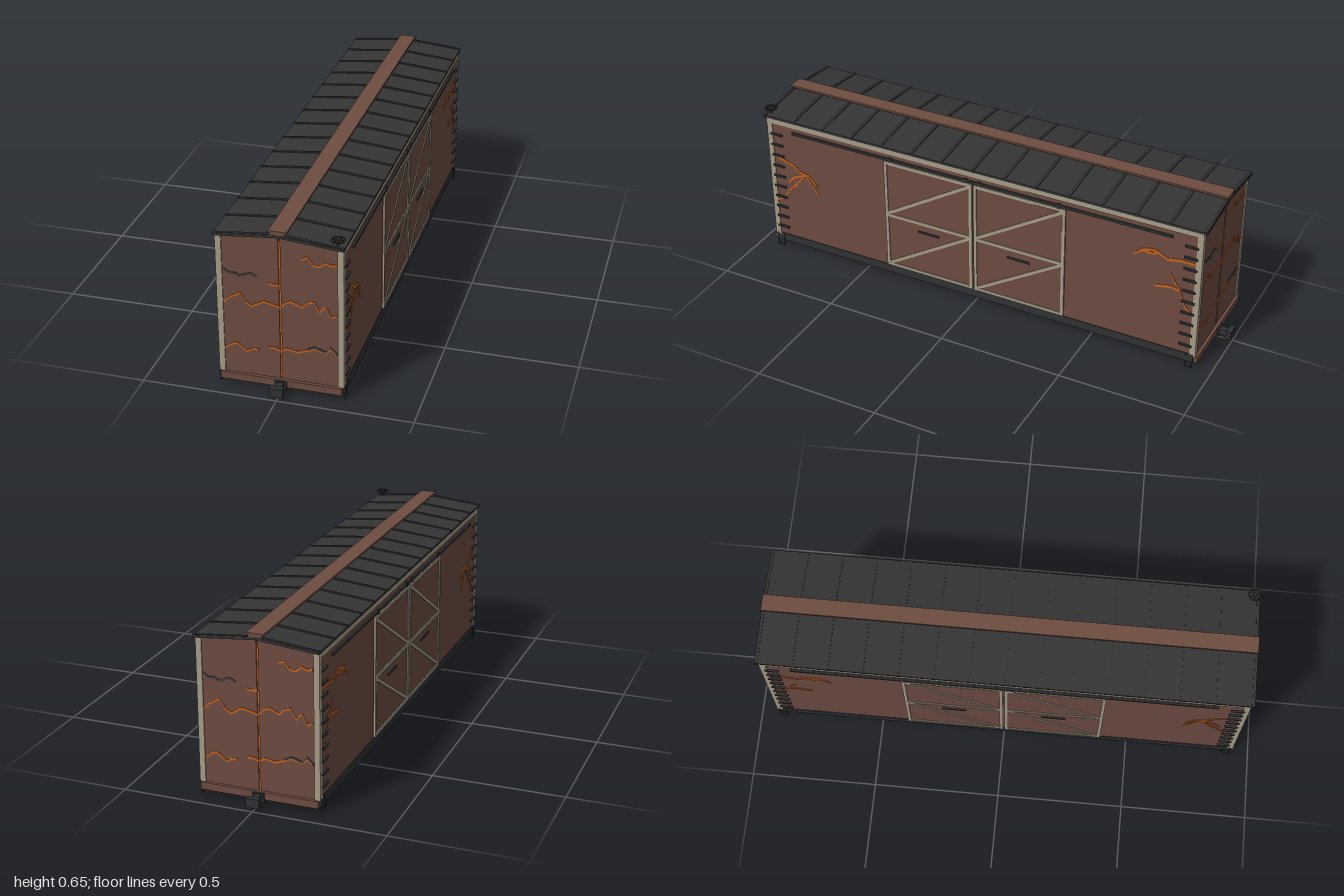
import * as THREE from 'three';

const mat = (name, color, side = THREE.FrontSide) => {
  const m = new THREE.MeshStandardMaterial({ color, side });
  m.name = name;
  return m;
};

export function createModel() {
  const brown = mat('boxcar brown', 0x6d4c41);
  const roofGrey = mat('roof grey', 0x343434);
  const iron = mat('dark iron', 0x2f3132);
  const beige = mat('beige trim', 0xa69c87);
  const rust = mat('rust orange', 0xc4621f);
  const soot = mat('soot grey', 0x404040);

  const model = new THREE.Group();
  model.name = 'boxcar';
  const add = (name, geo, material, x = 0, y = 0, z = 0, parent = model) => {
    const mesh = new THREE.Mesh(geo, material);
    mesh.name = name;
    mesh.position.set(x, y, z);
    parent.add(mesh);
    return mesh;
  };
  const box = (name, m, w, h, d, x, y, z, parent) =>
    add(name, new THREE.BoxGeometry(w, h, d), m, x, y, z, parent);
  const rod = (name, m, r, a, b, parent) => {
    const from = new THREE.Vector3(...a), to = new THREE.Vector3(...b);
    const mesh = add(name, new THREE.CylinderGeometry(r, r, from.distanceTo(to), 8), m, 0, 0, 0, parent);
    mesh.position.copy(from).add(to).multiplyScalar(0.5);
    mesh.quaternion.setFromUnitVectors(new THREE.Vector3(0, 1, 0), to.sub(from).normalize());
    return mesh;
  };
  const extrude = (pts, depth) => new THREE.ExtrudeGeometry(
    new THREE.Shape(pts.map(p => new THREE.Vector2(...p))), { depth, bevelEnabled: false });
  // jagged ribbon following a polyline
  const ribbon = (pts, t, depth = 0.003) => extrude([
    ...pts.map(([x, y]) => [x, y - t / 2]), ...[...pts].reverse().map(([x, y]) => [x, y + t / 2])], depth);

  // Body shell
  add('body', extrude([[-0.228, 0.045], [0.228, 0.045], [0.228, 0.608], [0, 0.632], [-0.228, 0.608]], 1.844),
    brown, 0, 0, -0.922);

  // Roof with raised seams
  const chevron = (w, low, high, t) => [[-w, low], [0, high], [w, low], [w, low + t], [0, high + t], [-w, low + t]];
  add('roof', extrude(chevron(0.235, 0.606, 0.628, 0.009), 1.89), roofGrey, 0, 0, -0.945);
  for (let i = 0; i < 15; i++) {
    const z = -0.938 + i * 0.134;
    add('roofSeam', extrude(chevron(0.236, 0.607, 0.631, 0.011), 0.01), roofGrey, 0, 0, z - 0.005);
    box('walkwaySaddle', brown, 0.05, 0.009, 0.012, 0, 0.641, z);
  }
  box('roofWalkway', brown, 0.066, 0.008, 1.89, 0, 0.649, 0);

  // Brake wheel on the roof corner
  rod('brakeShaft', iron, 0.004, [0.208, 0.59, 0.923], [0.208, 0.642, 0.923]);
  add('brakeWheel', new THREE.TorusGeometry(0.023, 0.003, 6, 20).rotateX(Math.PI / 2), iron, 0.208, 0.64, 0.923);
  for (let i = 0; i < 3; i++) {
    box('brakeSpoke', iron, 0.046, 0.003, 0.005, 0.208, 0.64, 0.923).rotation.y = i * Math.PI / 3;
  }

  // Cracks on the ends: [material, points]
  const endCracks = [
    [rust, [[0.08, 0.55], [0.1, 0.56], [0.122, 0.532], [0.145, 0.53], [0.165, 0.547], [0.185, 0.539], [0.206, 0.543]]],
    [soot, [[-0.205, 0.475], [-0.185, 0.46], [-0.165, 0.462], [-0.145, 0.453], [-0.105, 0.468], [-0.083, 0.457]]],
    [rust, [[-0.042, 0.438], [-0.02, 0.434], [0, 0.437]]],
    [rust, [[-0.205, 0.34], [-0.185, 0.362], [-0.145, 0.384], [-0.125, 0.35], [-0.103, 0.337], [-0.06, 0.362],
      [-0.02, 0.353], [0, 0.346], [0.02, 0.368], [0.04, 0.377], [0.08, 0.361], [0.1, 0.38], [0.122, 0.386],
      [0.145, 0.35], [0.165, 0.375], [0.185, 0.335], [0.206, 0.346]]],
    [rust, [[-0.205, 0.153], [-0.185, 0.169], [-0.165, 0.177], [-0.145, 0.166], [-0.125, 0.148], [-0.105, 0.162], [-0.083, 0.162]]],
    [rust, [[-0.042, 0.178], [-0.02, 0.177], [0, 0.17], [0.02, 0.182], [0.04, 0.18], [0.06, 0.174], [0.1, 0.188],
      [0.122, 0.198], [0.165, 0.188], [0.182, 0.206], [0.206, 0.186]]],
    [soot, [[0.1, 0.192], [0.122, 0.204], [0.165, 0.191], [0.182, 0.213], [0.206, 0.189]]],
  ];

  // Both ends, the rear one turned around
  for (const turn of [0, Math.PI]) {
    const end = new THREE.Group();
    end.name = turn ? 'rearEnd' : 'frontEnd';
    end.rotation.y = turn;
    model.add(end);
    box('endSeam', rust, 0.007, 0.552, 0.002, 0, 0.331, 0.923, end);
    for (const s of [-1, 1]) {
      add('endPanel', extrude([[s * 0.0035, 0.055], [s * 0.212, 0.055], [s * 0.212, 0.609], [s * 0.0035, 0.629]], 0.007),
        brown, 0, 0, 0.922, end);
      box('cornerPost', beige, 0.022, 0.553, 0.024, s * 0.22, 0.331, 0.921, end);
      // U-shaped corner step
      const x = s * 0.231;
      for (const z of [0.895, 0.922]) box('stepHanger', iron, 0.004, 0.056, 0.004, x, 0.033, z, end);
      box('stepTread', iron, 0.006, 0.004, 0.031, x, 0.006, 0.9085, end);
    }
    endCracks.forEach(([m, pts], i) => add('endCrack', ribbon(pts, 0.008), m, 0, 0, 0.9285 + (m === soot ? 0.0008 : 0), end));
    box('endSill', brown, 0.45, 0.028, 0.022, 0, 0.041, 0.93, end);
    box('couplerShank', iron, 0.026, 0.024, 0.06, 0, 0.036, 0.955, end);
    box('couplerCollar', iron, 0.044, 0.034, 0.008, 0, 0.036, 0.944, end);
    box('couplerHead', iron, 0.05, 0.036, 0.02, 0, 0.036, 0.99, end);

    // Low truck under each end
    box('truckBolster', iron, 0.32, 0.014, 0.03, 0, 0.026, 0.71, end);
    for (const s of [-1, 1]) {
      box('truckFrame', iron, 0.014, 0.012, 0.13, s * 0.125, 0.024, 0.71, end);
      for (const z of [0.667, 0.757]) {
        add('wheel', new THREE.CylinderGeometry(0.02, 0.02, 0.024, 16).rotateZ(Math.PI / 2), iron, s * 0.095, 0.03, z, end);
      }
    }
    for (const z of [0.667, 0.757]) rod('axle', iron, 0.006, [-0.15, 0.026, z], [0.15, 0.026, z], end);
    // Cross bearer and its posts
    box('crossBearer', iron, 0.33, 0.01, 0.018, 0, 0.022, 0.215, end);
    for (const x of [-0.155, -0.05, 0.05, 0.155]) box('bearerPost', iron, 0.012, 0.026, 0.012, x, 0.03, 0.215, end);
  }

  // Cracks on the sides as (z, y)
  const sideCracks = [
    [[0.91, 0.437], [0.863, 0.422], [0.82, 0.41], [0.79, 0.385], [0.75, 0.378], [0.713, 0.34]],
    [[0.91, 0.225], [0.874, 0.246], [0.836, 0.3], [0.8, 0.335], [0.765, 0.382]],
    [[0.765, 0.38], [0.74, 0.345], [0.708, 0.302]],
    [[0.85, 0.322], [0.82, 0.355], [0.765, 0.38]],
    [[-0.67, 0.444], [-0.708, 0.474], [-0.75, 0.48], [-0.8, 0.456], [-0.853, 0.466], [-0.917, 0.465]],
    [[-0.69, 0.468], [-0.74, 0.463], [-0.77, 0.478]],
    [[-0.917, 0.232], [-0.88, 0.267], [-0.853, 0.335], [-0.815, 0.396]],
    [[-0.756, 0.328], [-0.815, 0.34], [-0.853, 0.335], [-0.88, 0.262]],
  ];

  // Both sides, mirrored across x
  for (const s of [-1, 1]) {
    const side = new THREE.Group();
    side.name = s > 0 ? 'leftSide' : 'rightSide';
    model.add(side);
    box('sideSill', iron, 0.012, 0.034, 1.85, s * 0.225, 0.047, 0, side);
    box('eaveTrim', beige, 0.006, 0.024, 1.866, s * 0.229, 0.596, 0, side);
    box('doorTrack', iron, 0.009, 0.01, 1.63, s * 0.2315, 0.561, 0, side);
    for (const pts of sideCracks) {
      const geo = ribbon(pts.map(([z, y]) => [-s * z, y]), 0.011, 0.003).rotateY(s * Math.PI / 2);
      add('sideCrack', geo, rust, s * 0.2272, 0, 0, side);
    }
    // Ladder rungs at both ends
    for (const e of [-1, 1]) for (let i = 0; i < 10; i++) {
      box('ladderRung', iron, 0.008, 0.008, 0.052, s * 0.232, 0.1 + i * 0.0485, e * 0.89, side);
    }
    // Two door leaves with frames and braces
    for (const e of [-1, 1]) {
      const zc = e * 0.197, x = s * 0.2345;
      box('doorPanel', brown, 0.006, 0.484, 0.386, s * 0.23, 0.31, zc, side);
      for (const z of [e * 0.01, e * 0.384]) box('doorStile', beige, 0.005, 0.484, 0.013, x, 0.31, z, side);
      for (const y of [0.075, 0.308, 0.546]) box('doorRail', beige, 0.005, 0.013, 0.386, x, y, zc, side);
      for (const y of [0.191, 0.427]) {
        box('doorBrace', beige, 0.004, 0.013, Math.hypot(0.365, 0.224), x, y, zc, side)
          .rotation.x = Math.atan2(0.224, 0.365);
      }
      box('doorHandle', iron, 0.006, 0.008, 0.095, x, 0.267, zc, side);
      for (const z of [0.03, 0.36]) box('doorHanger', iron, 0.007, 0.022, 0.012, s * 0.2335, 0.56, e * z, side);
    }
    // Underframe beams and truss rods
    box('centreSill', iron, 0.016, 0.024, 1.84, s * 0.026, 0.036, 0, side);
    for (const x of [0.05, 0.155]) {
      rod('trussRod', iron, 0.003, [s * x, 0.018, -0.215], [s * x, 0.018, 0.215], side);
      for (const e of [-1, 1]) rod('trussRod', iron, 0.003, [s * x, 0.018, e * 0.215], [s * x, 0.044, e * 0.6], side);
    }
    rod('brakeRod', iron, 0.003, [s * 0.08, 0.02, -0.61], [s * 0.08, 0.02, 0.61], side);
  }

  // Brake gear under the floor
  const tank = (name, r, len, x, y, z) =>
    add(name, new THREE.CylinderGeometry(r, r, len, 20).rotateX(Math.PI / 2), iron, x, y, z);
  tank('brakeCylinder', 0.022, 0.17, 0.092, 0.026, 0.09);
  tank('airReservoir', 0.021, 0.09, -0.085, 0.026, -0.108);
  box('brakeValve', iron, 0.05, 0.03, 0.04, -0.1, 0.03, 0.02);
  box('brakeLever', iron, 0.2, 0.006, 0.012, 0, 0.02, -0.04);

  return model;
}
